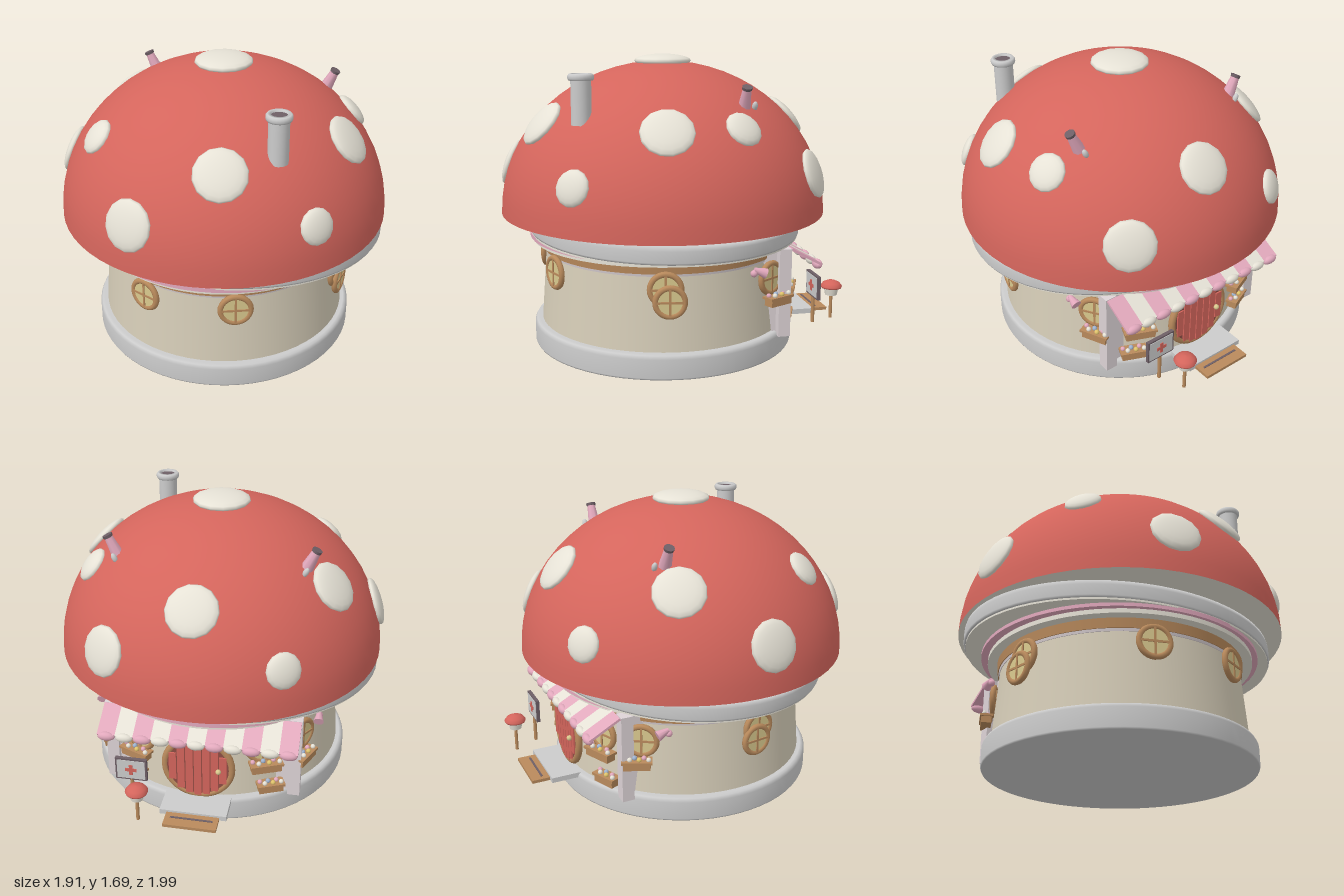
import * as THREE from 'three';

const RED = 0xd4655c, CREAM = 0xe6e2d6, GREY = 0xcccccc, WOOD = 0xb98a5c, PINK = 0xe2a9bd,
  WALL = 0xd6cdb8, PALE = 0xddd3d6, DARK = 0x6e5f66, GLASS = 0xd9c98e;
const CZ = 0.04, CAP_Y = 0.785, CAP_R = 0.95, CAP_H = 0.87;

function add(parent, name, geo, color, x = 0, y = 0, z = 0) {
  const material = new THREE.MeshStandardMaterial({ color });
  const m = new THREE.Mesh(geo, material);
  m.name = name;
  m.position.set(x, y, z);
  parent.add(m);
  return m;
}
function group(parent, name, x = 0, y = 0, z = 0, ry = 0) {
  const g = new THREE.Group();
  g.name = name;
  g.position.set(x, y, z);
  g.rotation.y = ry;
  parent.add(g);
  return g;
}
const box = (w, h, d) => new THREE.BoxGeometry(w, h, d);
const cyl = (top, bottom, h, n = 24) => new THREE.CylinderGeometry(top, bottom, h, n);
const ball = (r) => new THREE.SphereGeometry(r, 12, 8);
const lathe = (pts, n = 64) => new THREE.LatheGeometry(pts.map(([r, y]) => new THREE.Vector2(r, y)), n);

// Round window facing +z with a cross of glazing bars
function addWindow(parent, x, y, z, ry, r = 0.083) {
  const g = group(parent, 'roundWindow', x, y, z, ry);
  add(g, 'windowFrame', new THREE.TorusGeometry(r, 0.017, 8, 28), WOOD);
  add(g, 'windowGlass', cyl(r, r, 0.02), GLASS).rotation.x = Math.PI / 2;
  add(g, 'windowBar', box(0.012, 2 * r, 0.03), WOOD);
  add(g, 'windowBar', box(2 * r, 0.012, 0.03), WOOD);
  return g;
}

// Flower box facing +z
function addFlowerBox(parent, x, y, z, ry, w = 0.15) {
  const g = group(parent, 'flowerBox', x, y, z, ry);
  add(g, 'planter', box(w, 0.05, 0.06), WOOD);
  add(g, 'planterRail', box(w + 0.02, 0.014, 0.075), WOOD, 0, 0.02, 0);
  const colors = [PINK, CREAM, 0x9fb3cf, 0xe0c36c];
  for (let i = 0; i < 6; i++) {
    add(g, 'flower', ball(0.014), colors[i % 4], (i / 5 - 0.5) * (w - 0.02), 0.034, i % 2 ? 0.014 : -0.008);
  }
}

function addHouse(root) {
  const house = group(root, 'house', 0, 0, CZ);
  add(house, 'base', lathe([[0, 0], [0.77, 0], [0.775, 0.01], [0.775, 0.115], [0.765, 0.135], [0.75, 0.14], [0, 0.14]]), GREY);
  add(house, 'wall', cyl(0.695, 0.73, 0.46, 64), WALL, 0, 0.36, 0);
  add(house, 'wallTrim', cyl(0.705, 0.702, 0.015, 64), PALE, 0, 0.56, 0);
  add(house, 'woodBand', cyl(0.715, 0.71, 0.055, 64), WOOD, 0, 0.595, 0);
  add(house, 'lowerCornice', cyl(0.77, 0.77, 0.025, 64), CREAM, 0, 0.635, 0);
  add(house, 'pinkCornice', cyl(0.79, 0.79, 0.025, 64), PINK, 0, 0.66, 0).scale.x = 1.03;
  add(house, 'collarLip', cyl(0.785, 0.785, 0.012, 64), CREAM, 0, 0.673, 0).scale.x = 1.18;
  add(house, 'collar', lathe([[0, 0.678], [0.785, 0.678], [0.79, 0.69], [0.79, 0.75], [0.785, 0.775], [0, 0.78]]), GREY)
    .scale.x = 1.19;

  // Windows round the front and two overlapping ones on each side
  for (const s of [-1, 1]) {
    addWindow(house, s * 0.262, 0.49, 0.675, Math.atan2(s * 0.262, 0.67));
    addWindow(house, s * 0.715, 0.49, 0.135, s * 1.4);
    addWindow(house, s * 0.735, 0.425, 0.115, s * 1.42, 0.078);
  }
}

function addCap(root) {
  const cap = group(root, 'mushroomCap', 0, CAP_Y, CZ);
  const profile = [[0, 0.005], [0.9, 0.005], [CAP_R, 0]];
  for (let i = 1; i <= 16; i++) {
    const a = (i / 16) * Math.PI / 2;
    profile.push([i === 16 ? 0 : CAP_R * Math.cos(a), CAP_H * Math.sin(a)]);
  }
  add(cap, 'capUnderside', lathe(profile.slice(0, 3)), CREAM);
  add(cap, 'capDome', lathe(profile.slice(2)), RED);

  // Spots: direction x, z, height above the rim, radius
  const spots = [
    [0.19, 0.72, 0.54, 0.145], [-0.58, 0.47, 0.54, 0.105], [-0.67, -0.33, 0.54, 0.145],
    [0.02, -0.75, 0.54, 0.145], [0.69, -0.29, 0.54, 0.105], [0.74, 0.13, 0.54, 0.145],
    [-0.26, 0.87, 0.26, 0.142], [0.67, 0.61, 0.26, 0.1], [-0.9, 0.1, 0.26, 0.142],
    [-0.47, -0.79, 0.26, 0.1], [0.51, -0.76, 0.26, 0.142], [0, 0.001, CAP_H, 0.165],
  ];
  for (const [dx, dz, y, r] of spots) {
    const reach = CAP_R * Math.sqrt(1 - (y / CAP_H) ** 2), len = Math.hypot(dx, dz);
    const p = new THREE.Vector3(dx / len * reach, y, dz / len * reach);
    const n = new THREE.Vector3(p.x / CAP_R ** 2, y / CAP_H ** 2, p.z / CAP_R ** 2).normalize();
    const spot = add(cap, 'spot', new THREE.SphereGeometry(r, 14, 10), CREAM, p.x, p.y, p.z);
    spot.scale.y = 0.035 / r * 1.1;
    spot.quaternion.setFromUnitVectors(new THREE.Vector3(0, 1, 0), n);
  }
}

function addChimneys(root) {
  const c = group(root, 'chimney', 0.44, 0, 0.57);
  add(c, 'chimneyPipe', cyl(0.055, 0.055, 0.25), GREY, 0, 1.465, 0);
  add(c, 'chimneyRim', lathe([[0.045, 1.59], [0.045, 1.575], [0.065, 1.575], [0.07, 1.585], [0.07, 1.6], [0.062, 1.61], [0.045, 1.61], [0.045, 1.585]], 24), GREY);
  add(c, 'chimneyHole', cyl(0.046, 0.046, 0.01), DARK, 0, 1.594, 0);
  // Small tilted pink stacks
  for (const s of [-1, 1]) {
    const g = group(root, 'pinkStack', s * 0.535, 1.455, -0.3);
    g.rotation.z = -s * 0.45;
    add(g, 'stackPipe', cyl(0.024, 0.042, 0.16, 8), PINK);
    add(g, 'stackRim', cyl(0.029, 0.027, 0.016, 12), DARK, 0, 0.083, 0);
    add(g, 'stackKnob', ball(0.016), GREY, 0, -0.03, -0.06).scale.y = 1.8;
  }
}

function addDoor(root) {
  const door = group(root, 'door', 0, 0.34, -0.695, Math.PI);
  add(door, 'doorFrame', new THREE.TorusGeometry(0.19, 0.021, 10, 36), WOOD);
  add(door, 'doorBack', cyl(0.185, 0.185, 0.03, 36), 0x8d4d44).rotation.x = Math.PI / 2;
  for (let i = -3; i <= 3; i++) {
    const h = 2 * Math.sqrt(0.185 ** 2 - (Math.abs(i) * 0.048 + 0.018) ** 2);
    add(door, 'doorPlank', box(0.042, h, 0.02), RED, i * 0.048, 0, 0.014);
  }
  add(door, 'doorKnob', ball(0.016), GLASS, 0.12, 0, 0.034);
  add(root, 'doorStep', box(0.38, 0.03, 0.17), GREY, 0, 0.128, -0.78);
  const mat = group(root, 'woodenStep', 0, 0.122, -0.915);
  add(mat, 'stepBoard', box(0.3, 0.018, 0.11), WOOD);
  add(mat, 'stepGroove', box(0.24, 0.006, 0.012), DARK, 0, 0.009, 0.01);
}

function addShopFront(root) {
  // Posts with slanted wings, windows and planters on both sides
  const wing = new THREE.Shape([[0.42, 0.63], [0.55, 0.63], [0.55, 0.12], [0.49, 0.12]].map(([x, y]) => new THREE.Vector2(x, y)));
  const wingGeo = new THREE.ExtrudeGeometry(wing, { depth: 0.09, bevelEnabled: false }).rotateY(Math.PI / 2).translate(-0.045, 0, 0);
  for (const s of [-1, 1]) {
    const g = group(root, 'shopSide');
    add(g, 'wing', wingGeo, PALE, s * 0.47, 0, 0);
    add(g, 'post', box(0.07, 0.51, 0.07), PALE, s * 0.53, 0.375, -0.545);
    addWindow(g, s * 0.555, 0.47, -0.46, s * 2.15);
    addFlowerBox(g, s * 0.58, 0.345, -0.5, s * 2.0);
    addWindow(g, s * 0.35, 0.45, -0.605, Math.PI - s * 0.4);
    addFlowerBox(g, s * 0.375, 0.345, -0.635, Math.PI - s * 0.4, 0.17);
    addFlowerBox(g, s * 0.4, 0.19, -0.61, Math.PI - s * 0.4, 0.14);
    // Pink wall lamp
    const lamp = add(g, 'wallLamp', cyl(0.012, 0.03, 0.07, 10), PINK, s * 0.64, 0.535, -0.37);
    lamp.rotation.x = 1.2;
    add(g, 'lampBulb', ball(0.02), PINK, s * 0.64, 0.525, -0.335);
  }

  // Striped awning with rounded ends
  const awning = group(root, 'awning', 0, 0.578, -0.67);
  awning.rotation.x = -0.5;
  const n = 11, w = 1.12 / n;
  for (let i = 0; i < n; i++) {
    const x = (i - (n - 1) / 2) * w, color = i % 2 ? CREAM : PINK;
    add(awning, 'awningStripe', box(w, 0.014, 0.2), color, x, 0, 0);
    add(awning, 'awningScallop', ball(w / 2), color, x, -0.01, -0.1).scale.set(1, 0.55, 0.5);
  }
}

function addSigns(root) {
  const board = group(root, 'crossSign', 0.36, 0, -0.795);
  add(board, 'signPole', cyl(0.011, 0.011, 0.26, 10), WOOD, 0, 0.25, 0);
  add(board, 'signFrame', box(0.18, 0.14, 0.02), DARK, 0, 0.35, 0);
  add(board, 'signPanel', box(0.16, 0.12, 0.026), GREY, 0, 0.35, 0);
  add(board, 'crossUpright', box(0.02, 0.065, 0.034), RED, 0, 0.35, 0);
  add(board, 'crossBar', box(0.065, 0.02, 0.034), RED, 0, 0.35, 0);

  const shroom = group(root, 'mushroomPost', 0.295, 0, -0.935);
  add(shroom, 'stake', cyl(0.01, 0.01, 0.17, 10), WOOD, 0, 0.2, 0);
  add(shroom, 'stem', cyl(0.045, 0.035, 0.05, 16), CREAM, 0, 0.285, 0);
  const dome = lathe([[0, 0], [0.06, 0], [0.064, 0.01], [0.05, 0.03], [0.025, 0.042], [0, 0.045]], 24);
  add(shroom, 'smallCap', dome, RED, 0, 0.305, 0);
}

export function createModel() {
  const root = new THREE.Group();
  root.name = 'mushroomHouse';
  addHouse(root);
  addCap(root);
  addChimneys(root);
  addDoor(root);
  addShopFront(root);
  addSigns(root);
  return root;
}
